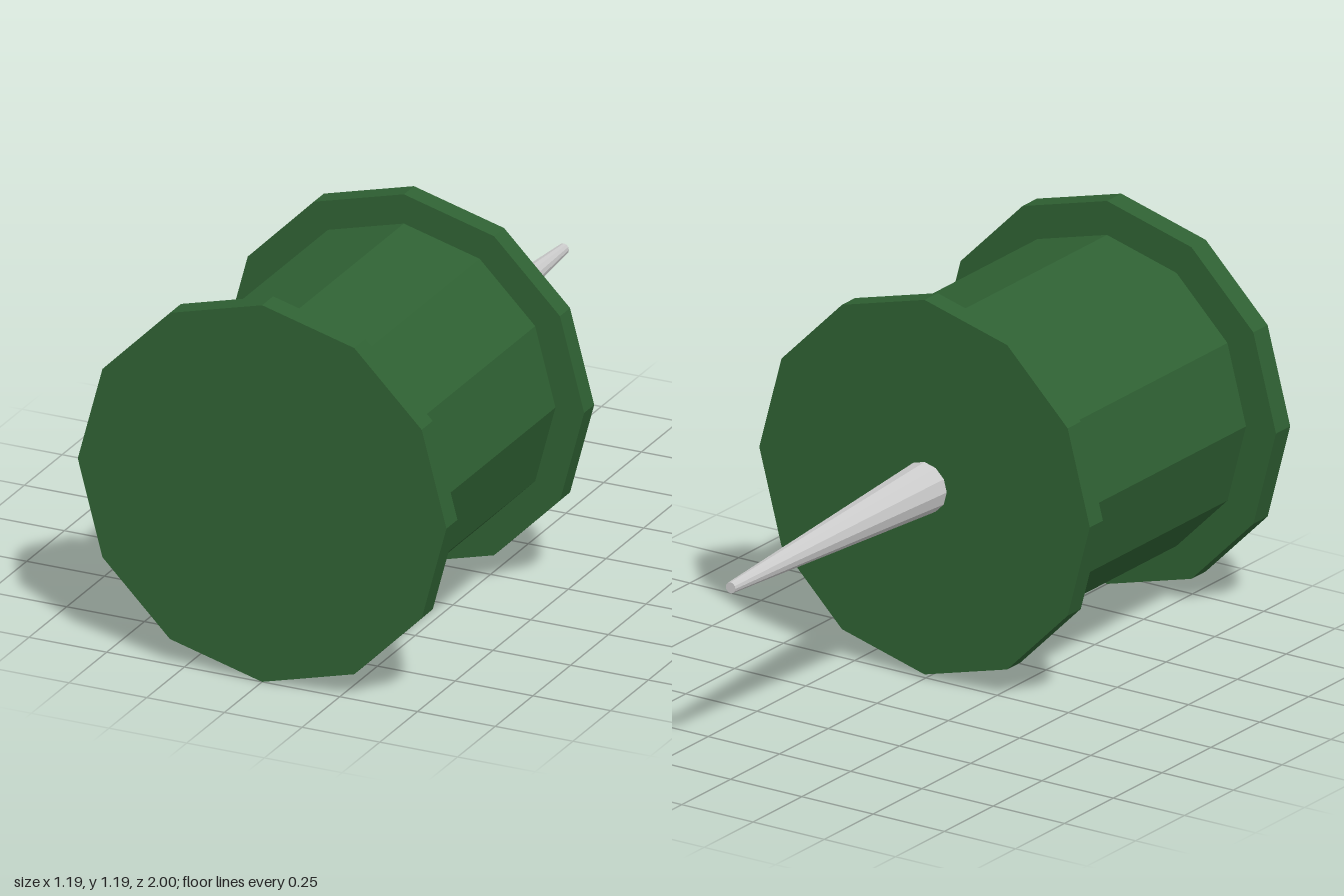
import * as THREE from 'three';

const SIDES = 12;
const AXIS_Y = 0.595;

// Twelve-sided cylinder lying along z, from zBack to zFront
function drum(name, rFront, rBack, zBack, zFront, material) {
  const geo = new THREE.CylinderGeometry(rFront, rBack, zFront - zBack, SIDES);
  geo.rotateX(Math.PI / 2);
  const mesh = new THREE.Mesh(geo, material);
  mesh.name = name;
  mesh.position.set(0, AXIS_Y, (zFront + zBack) / 2);
  return mesh;
}

export function createModel() {
  const model = new THREE.Group();
  model.name = 'pushPin';
  const green = new THREE.MeshStandardMaterial({ color: 0x2f6133, flatShading: true });
  const grey = new THREE.MeshStandardMaterial({ color: 0xcccccc, flatShading: true });

  model.add(
    // Handle: wide front cap, grip and slightly smaller collar
    drum('frontCap', 0.593, 0.593, 0.927, 1, green),
    drum('grip', 0.488, 0.488, 0.06, 0.927, green),
    drum('backCollar', 0.58, 0.58, -0.007, 0.06, green),
    // Needle tapering to a blunt tip at the back
    drum('needle', 0.078, 0.017, -1, -0.007, grey),
  );
  return model;
}
